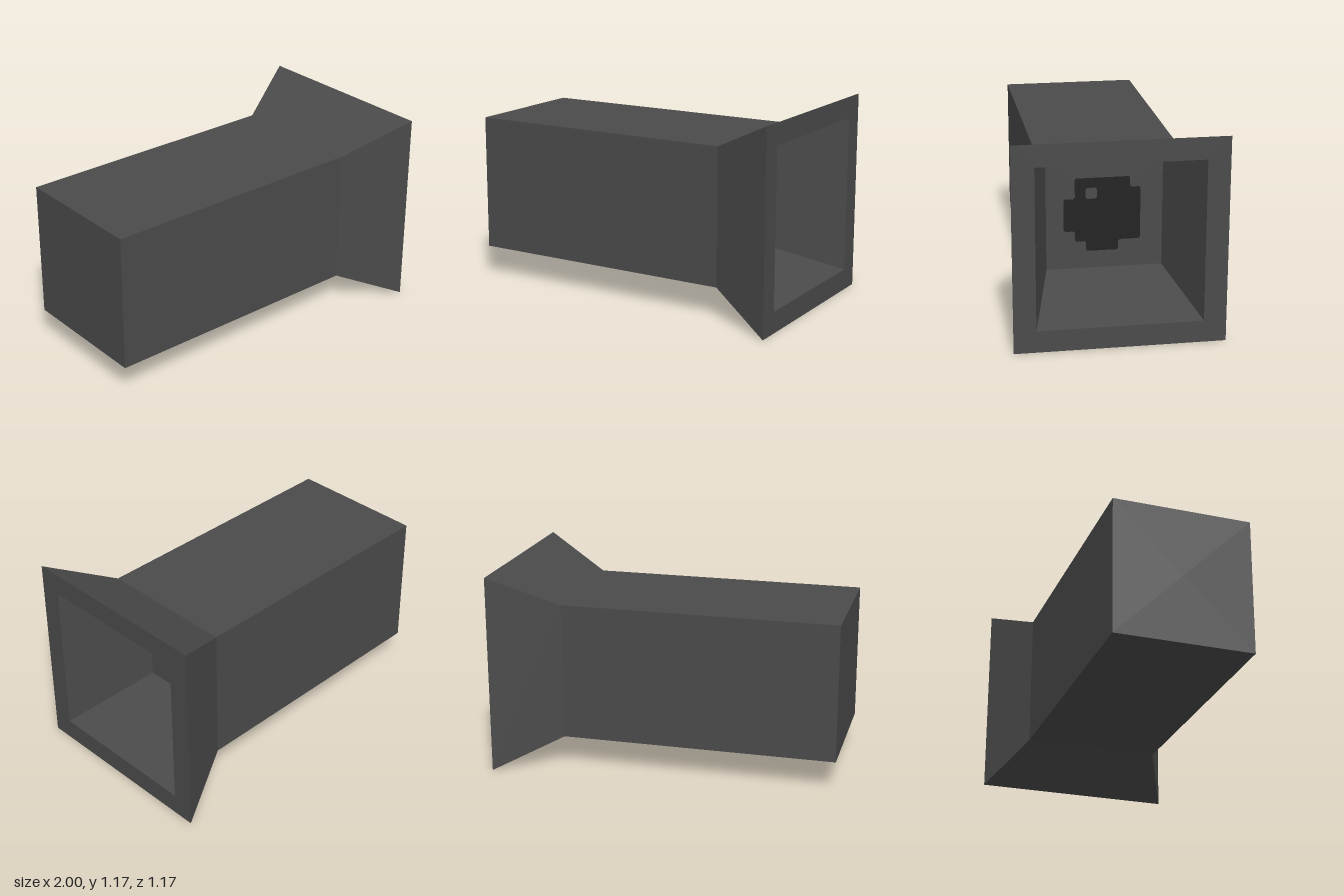
import * as THREE from 'three';

const MID_Y = 0.585;
const FLOOR_X = 0.44;

// Square section swept along x; each profile point is [half width, x]
function squareSweep(name, profile, material) {
  const points = profile.map(([half, x]) => new THREE.Vector2(half * Math.SQRT2, x));
  const geometry = new THREE.LatheGeometry(points, 4, Math.PI / 4).toNonIndexed();
  geometry.rotateZ(-Math.PI / 2);
  geometry.computeVertexNormals();
  const mesh = new THREE.Mesh(geometry, material);
  mesh.name = name;
  return mesh;
}

// Clips every corner of a closed outline by a small amount
function clipCorners(outline, cut) {
  const points = outline.map(([x, y]) => new THREE.Vector2(x, y));
  const n = points.length;
  return points.flatMap((p, i) => [points[(i + n - 1) % n], points[(i + 1) % n]].map((q) =>
    p.clone().add(q.clone().sub(p).setLength(cut))));
}

export function createModel() {
  const model = new THREE.Group();
  model.name = 'flaredSquarePipe';

  const grey = new THREE.MeshStandardMaterial({ color: 0x4a4a4a, flatShading: true });
  grey.name = 'dark grey';
  const black = new THREE.MeshStandardMaterial({ color: 0x222222 });
  black.name = 'soot black';

  const pipe = new THREE.Group();
  pipe.name = 'pipe';
  pipe.position.y = MID_Y;
  model.add(pipe);

  // Closed body, flared mouth, rim and the tapering recess
  pipe.add(
    squareSweep('body', [[0, -1], [0.403, -1], [0.403, 0.61]], grey),
    squareSweep('flare', [[0.403, 0.61], [0.585, 1]], grey),
    squareSweep('rim', [[0.585, 1], [0.46, 1]], grey),
    squareSweep('recessWalls', [[0.46, 1], [0.335, FLOOR_X]], grey),
    squareSweep('recessFloor', [[0.335, FLOOR_X], [0, FLOOR_X]], grey),
  );

  // Blocky dark mark on the recess floor, with one small gap
  const mark = new THREE.Shape(clipCorners([
    [-0.17, 0.208], [-0.17, 0.086], [-0.234, 0.086], [-0.234, -0.108],
    [-0.17, -0.108], [-0.17, -0.17], [-0.106, -0.17], [-0.106, -0.23],
    [0.08, -0.23], [0.08, -0.168], [0.207, -0.168], [0.207, 0.145],
    [0.147, 0.145], [0.147, 0.208],
  ], 0.009));
  mark.holes.push(new THREE.Path(clipCorners([
    [-0.108, 0.149], [-0.108, 0.084], [-0.044, 0.084], [-0.044, 0.149],
  ], 0.009)));
  const markMesh = new THREE.Mesh(new THREE.ShapeGeometry(mark), black);
  markMesh.name = 'floorMark';
  markMesh.rotation.y = Math.PI / 2;
  markMesh.position.x = FLOOR_X + 0.004;
  pipe.add(markMesh);

  return model;
}
